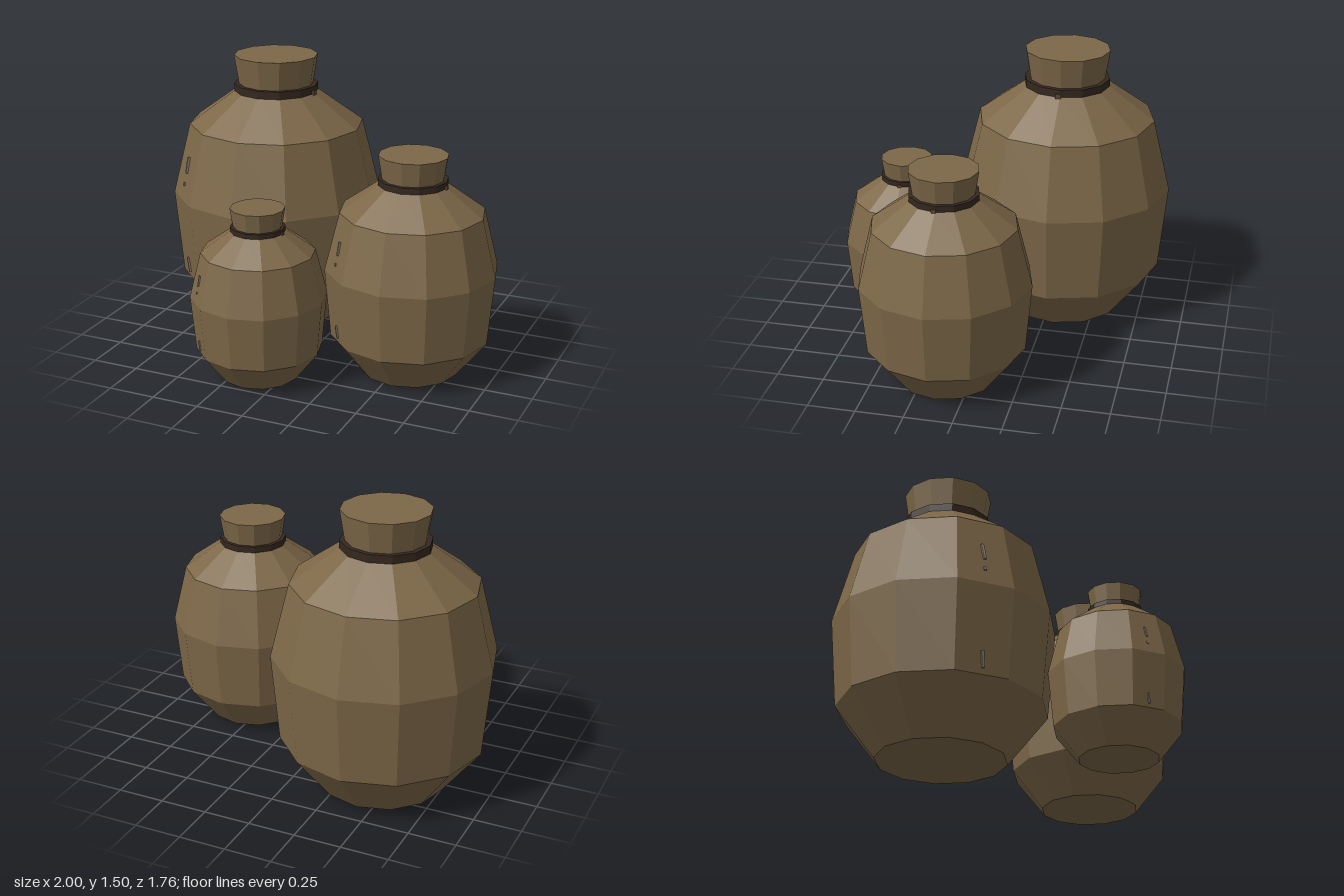
import * as THREE from 'three';

const material = (color) => new THREE.MeshStandardMaterial({ color, flatShading: true });
const clay = material(0x7d6848);
const darkCord = material(0x35281f);
const knotCord = material(0x5f4630);
const thread = material(0x8c8270);

const SIDES = 12;

function addMesh(parent, name, geometry, mat, x = 0, y = 0, z = 0) {
  const mesh = new THREE.Mesh(geometry, mat);
  mesh.name = name;
  mesh.position.set(x, y, z);
  parent.add(mesh);
  return mesh;
}

// One tied sack, built at full size and scaled for the smaller ones
function createSack(name, x, z, scale) {
  const sack = new THREE.Group();
  sack.name = name;

  // Faceted body, gathered neck and flat top
  const profile = [
    [0, 0], [0.332, 0], [0.535, 0.26], [0.577, 0.725], [0.48, 1.115],
    [0.225, 1.3], [0.203, 1.325], [0.23, 1.495], [0, 1.495],
  ].map(([r, y]) => new THREE.Vector2(r, y));
  addMesh(sack, 'body', new THREE.LatheGeometry(profile, SIDES), clay);

  // Cord around the neck with a small knot and hanging end
  addMesh(sack, 'neckCord', new THREE.CylinderGeometry(0.231, 0.231, 0.042, SIDES), darkCord, 0, 1.316, 0);
  addMesh(sack, 'knot', new THREE.BoxGeometry(0.025, 0.024, 0.03), knotCord, 0.226, 1.303, 0.008);
  const end = addMesh(sack, 'cordEnd', new THREE.BoxGeometry(0.012, 0.05, 0.014), knotCord, 0.23, 1.285, 0.016);
  end.rotation.z = 0.3;

  // Seam stitches on the front right side, barely proud of the surface
  const seam = new THREE.Group();
  seam.name = 'seam';
  seam.rotation.y = -Math.PI / 4;
  sack.add(seam);
  for (const [y, r, height, lean] of [[0.335, 0.523, 0.085, 0.1], [0.81, 0.533, 0.02, -0.24], [0.915, 0.513, 0.09, -0.2]]) {
    const stitch = addMesh(seam, 'stitch', new THREE.BoxGeometry(0.014, height, 0.022), thread, 0, y, r);
    stitch.rotation.set(lean, 0, 0.1);
  }

  sack.scale.setScalar(scale);
  sack.position.set(x, 0, z);
  return sack;
}

export function createModel() {
  const model = new THREE.Group();
  model.name = 'sacks';
  model.add(
    createSack('largeSack', -0.423, -0.302, 1),
    createSack('mediumSack', 0.55, 0.14, 0.779),
    createSack('smallSack', -0.135, 0.525, 0.609),
  );
  return model;
}
